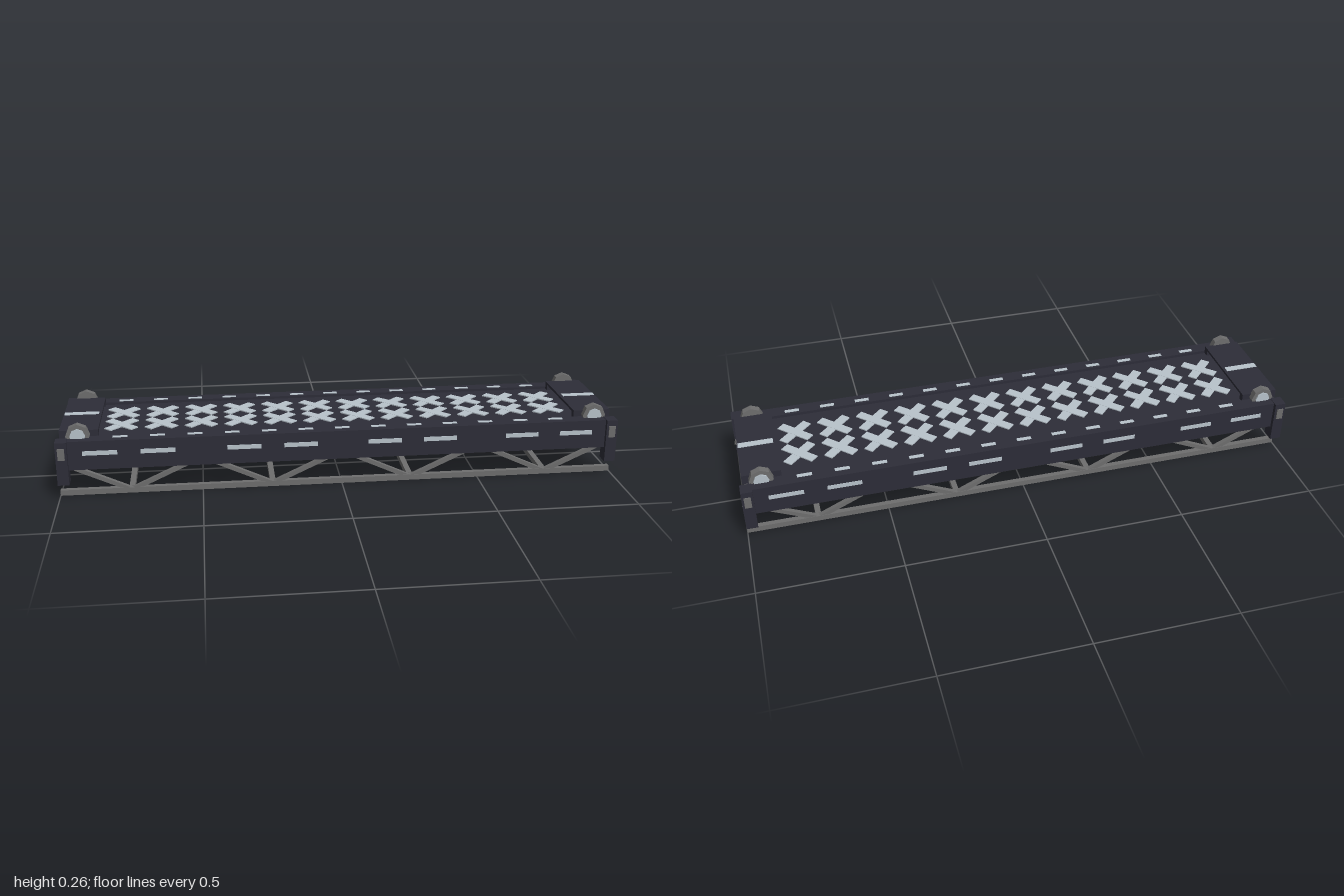
import * as THREE from 'three';

export function createModel() {
  const model = new THREE.Group();
  model.name = 'trussBridge';

  const mat = (name, color) => {
    const m = new THREE.MeshStandardMaterial({ color, flatShading: true });
    m.name = name;
    return m;
  };
  const dark = mat('dark panel', 0x2d2d38);
  const deckGrey = mat('deck grey', 0x505055);
  const steel = mat('truss steel', 0x6e6e6e);
  const light = mat('pale marking', 0xb9c4cc);

  const add = (name, geometry, material, x, y, z) => {
    const mesh = new THREE.Mesh(geometry, material);
    mesh.name = name;
    mesh.position.set(x, y, z);
    model.add(mesh);
    return mesh;
  };
  // Box given by its limits on each axis
  const box = (name, material, x0, x1, y0, y1, z0, z1) =>
    add(name, new THREE.BoxGeometry(Math.abs(x1 - x0), y1 - y0, Math.abs(z1 - z0)), material,
      (x0 + x1) / 2, (y0 + y1) / 2, (z0 + z1) / 2);

  // Deck slab with a dark walking surface
  box('deckSlab', deckGrey, -0.985, 0.985, 0.155, 0.203, -0.2, 0.2);
  box('deckSurface', dark, -0.985, 0.985, 0.203, 0.207, -0.174, 0.174);

  // Two rows of crossed tread plates
  for (let i = 0; i < 12; i++) {
    for (const z of [-0.064, 0.064]) {
      [1, -1].forEach((s, k) => {
        const bar = add('treadCross', new THREE.BoxGeometry(0.135, 0.004, 0.034), light,
          -0.782 + i * 0.1422, 0.212 + k * 0.0006, z);
        bar.rotation.y = s * Math.PI / 4;
      });
    }
  }

  for (const s of [1, -1]) {
    // Side girder: outer web and top flange
    box('girderWeb', dark, -0.97, 0.97, 0.11, 0.215, s * 0.2, s * 0.23);
    box('girderFlange', dark, -0.97, 0.97, 0.203, 0.215, s * 0.178, s * 0.2);

    // Pale strips on the web and along the flange
    for (const x of [-0.85, -0.65, -0.35, -0.15, 0.15, 0.35, 0.65, 0.85]) {
      box('sideStrip', light, x - 0.06, x + 0.06, 0.163, 0.179, s * 0.229, s * 0.232);
    }
    for (let i = 0; i < 13; i++) {
      const x = -0.78 + i * 0.13;
      box('flangeStrip', light, x - 0.026, x + 0.026, 0.214, 0.217, s * 0.188, s * 0.203);
    }

    // Bottom chord and zigzag diagonals
    box('bottomChord', steel, -1, 1, 0, 0.02, s * 0.174, s * 0.193);
    for (let i = 0; i < 8; i++) {
      const x0 = -1 + i * 0.25;
      const y0 = i % 2 ? 0.01 : 0.125, y1 = i % 2 ? 0.125 : 0.01;
      const diagonal = add('trussDiagonal',
        new THREE.BoxGeometry(Math.hypot(0.25, y1 - y0), 0.015, 0.016), steel,
        x0 + 0.125, (y0 + y1) / 2, s * 0.183);
      diagonal.rotation.z = Math.atan2(y1 - y0, 0.25);
    }
  }

  // Cross members joining the two trusses
  for (const x of [-0.75, -0.25, 0.25, 0.75]) {
    box('lowerCrossBar', steel, x - 0.01, x + 0.01, 0.0005, 0.0205, -0.175, 0.175);
  }
  for (const x of [-0.5, 0, 0.5]) {
    box('upperCrossBeam', dark, x - 0.01, x + 0.01, 0.097, 0.138, -0.186, 0.186);
  }

  // Six-sided service pipe
  const pipe = new THREE.CylinderGeometry(0.017, 0.017, 2, 6).rotateZ(Math.PI / 2);
  add('servicePipe', pipe, steel, 0, 0.04, 0);

  // Both ends: raised plate on legs, corner posts and rollers
  for (const e of [1, -1]) {
    box('endPlate', dark, e * 0.855, e * 0.99, 0.228, 0.237, -0.175, 0.175);
    box('endPlateStrip', light, e * 0.865, e * 0.988, 0.236, 0.239, -0.013, 0.013);
    for (const s of [1, -1]) {
      box('endPlateLeg', dark, e * 0.855, e * 0.99, 0.203, 0.237, s * 0.154, s * 0.176);
      box('cornerPost', dark, e * 0.96, e, 0.06, 0.217, s * 0.197, s * 0.244);
      box('postBadge', steel, e * 0.968, e * 0.992, 0.154, 0.196, s * 0.243, s * 0.248);
      const disc = new THREE.CylinderGeometry(0.042, 0.042, 0.025, 8).rotateX(Math.PI / 2);
      add('roller', disc, steel, e * 0.925, 0.223, s * 0.185);
      const hub = new THREE.CylinderGeometry(0.027, 0.027, 0.006, 8).rotateX(Math.PI / 2);
      add('rollerHub', hub, light, e * 0.925, 0.223, s * 0.199);
    }
  }

  return model;
}
